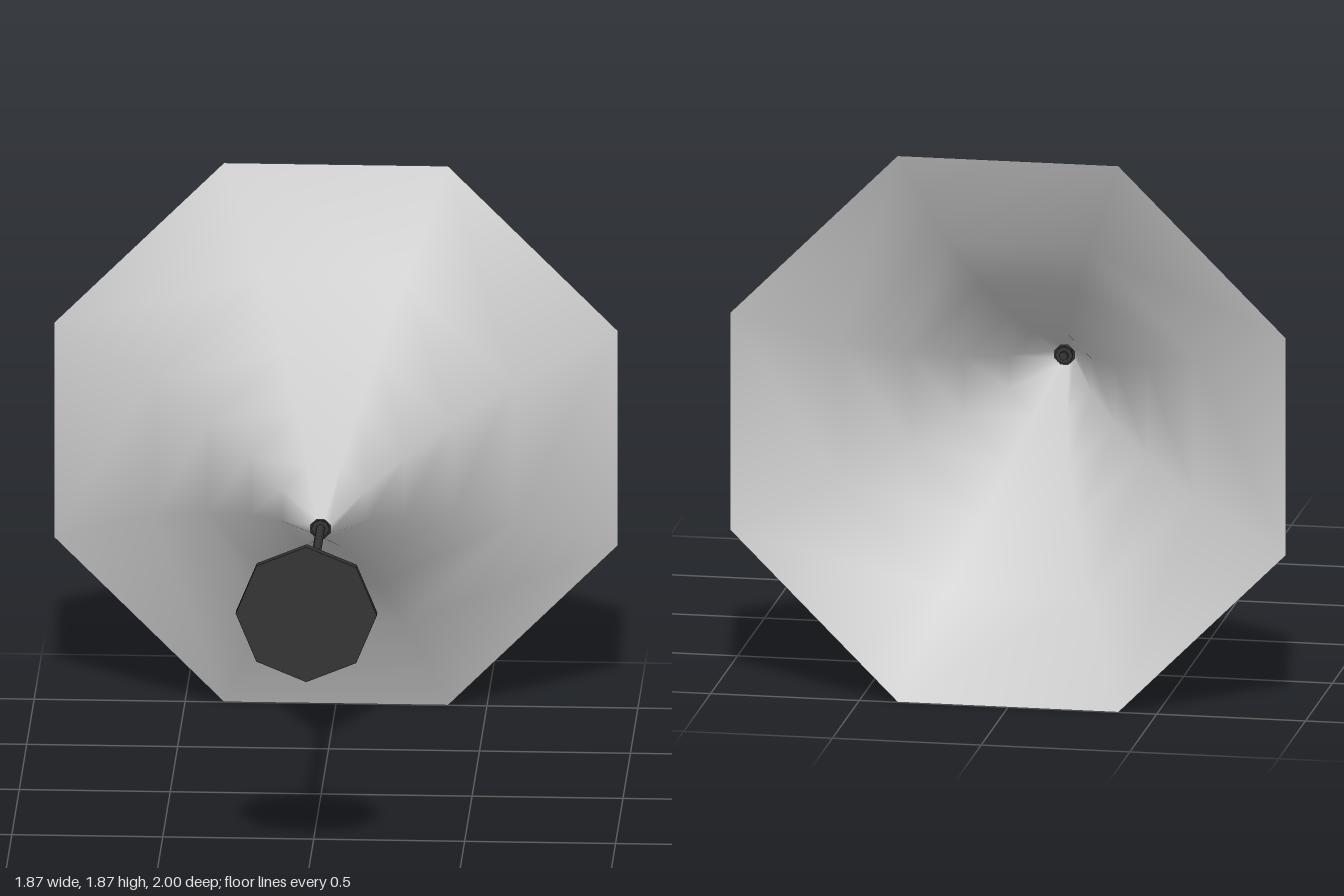
import * as THREE from 'three';

const AXIS_Y = 0.938; // height of the long axis

export function createModel() {
  const model = new THREE.Group();
  const paleGrey = new THREE.MeshStandardMaterial({ color: 0xcccccc, side: THREE.DoubleSide });
  const charcoal = new THREE.MeshStandardMaterial({ color: 0x333333 });
  paleGrey.name = 'paleGrey';
  charcoal.name = 'charcoal';

  const add = (name, geometry, material, z) => {
    const mesh = new THREE.Mesh(geometry, material);
    mesh.name = name;
    mesh.position.set(0, AXIS_Y, z);
    model.add(mesh);
  };
  // Eight-sided cylinder lying along z
  const rod = (radius, length) => new THREE.CylinderGeometry(radius, radius, length, 8).rotateX(Math.PI / 2);

  // Flared bell: [half width across flats, z] from rim to throat
  const profile = [[0.935, -1], [0.597, -0.82], [0.4, -0.61], [0.255, -0.42], [0.14, -0.205], [0.033, 0.05]]
    .map(([flat, z]) => new THREE.Vector2(flat / Math.cos(Math.PI / 8), z));
  const bell = new THREE.LatheGeometry(profile, 8, Math.PI / 8).rotateX(Math.PI / 2);
  // Upright and level sides are slightly shorter than the diagonal ones
  const pos = bell.attributes.position;
  for (let i = 0; i < pos.count; i++) {
    const x = pos.getX(i), y = pos.getY(i);
    if (Math.abs(x) < Math.abs(y)) pos.setX(i, x * 0.958);
    else pos.setY(i, y * 0.958);
  }
  add('bell', bell, paleGrey, 0);

  // Stem, throat plug and end plate
  add('stem', rod(0.015, 0.95), charcoal, 0.505);
  add('throatPlug', rod(0.03, 0.008), charcoal, 0.045);
  add('endPlate', rod(0.234, 0.032), charcoal, 0.984);

  return model;
}
